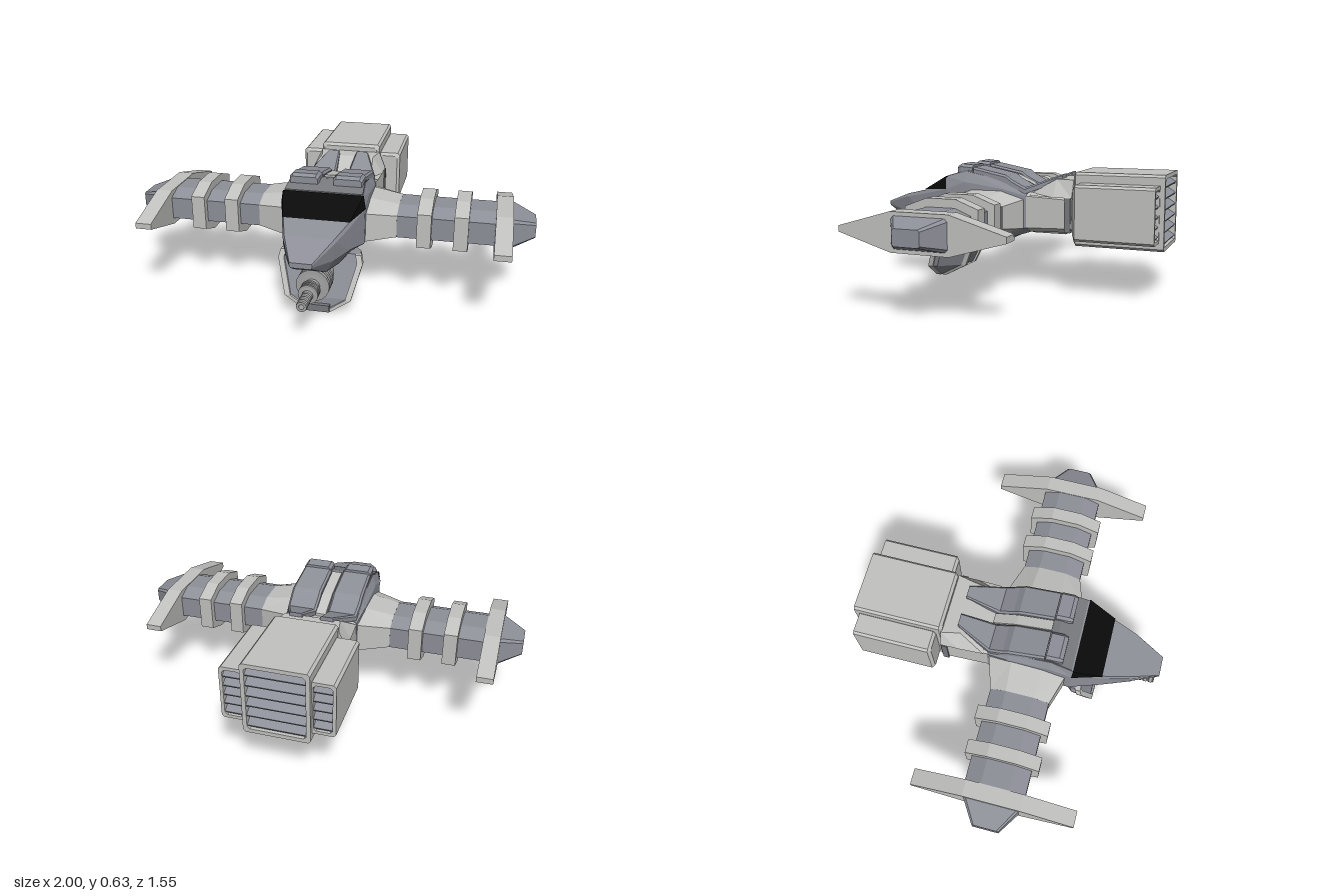
import * as THREE from 'three';

const mat = (name, color) => Object.assign(new THREE.MeshStandardMaterial({ color, flatShading: true }), { name });

// Skins matching convex cross-sections and caps both ends, facing outwards
function loft(sections) {
  const tris = [], n = sections[0].length;
  for (let i = 0; i + 1 < sections.length; i++) {
    const a = sections[i], b = sections[i + 1];
    for (let j = 0; j < n; j++) {
      const k = (j + 1) % n;
      tris.push([a[j], a[k], b[k]], [a[j], b[k], b[j]]);
    }
  }
  const first = sections[0], last = sections[sections.length - 1];
  for (let j = 1; j + 1 < n; j++) {
    tris.push([first[0], first[j + 1], first[j]], [last[0], last[j], last[j + 1]]);
  }
  const v = (p) => new THREE.Vector3(...p);
  const volume = tris.reduce((s, t) => s + v(t[0]).dot(v(t[1]).cross(v(t[2]))), 0);
  if (volume < 0) tris.forEach((t) => t.reverse());
  const g = new THREE.BufferGeometry();
  g.setAttribute('position', new THREE.Float32BufferAttribute(tris.flat(2), 3));
  g.computeVertexNormals();
  return g;
}

// Symmetrical section from right-half points listed top to bottom
const mirrored = (z, half) => [
  ...half.map(([x, y]) => [x, y, z]),
  ...half.slice().reverse().map(([x, y]) => [-x, y, z]),
];

// Octagonal wing section at x
const oct = (x, hz, hy, cz, cy) =>
  [[hz, cy], [cz, hy], [-cz, hy], [-hz, cy], [-hz, -cy], [-cz, -hy], [cz, -hy], [hz, -cy]]
    .map(([z, y]) => [x, 0.39 + y, 0.12 + z]);

export function createModel() {
  const root = new THREE.Group();
  root.name = 'gunship';
  const light = mat('light grey', 0xc2c2c0);
  const hull = mat('hull grey', 0x8e9099);
  const dark = mat('dark grey', 0x77797d);
  const gunMetal = mat('gun metal', 0xa2a2a2);
  const glass = mat('black glass', 0x0a0a0a);
  glass.side = THREE.DoubleSide;

  const add = (name, geo, material, parent = root) => {
    const m = new THREE.Mesh(geo, material);
    m.name = name;
    parent.add(m);
    return m;
  };
  const box = (name, material, w, h, d, x, y, z, parent) => {
    const m = add(name, new THREE.BoxGeometry(w, h, d), material, parent);
    m.position.set(x, y, z);
    return m;
  };

  // Fuselage and nose
  add('fuselage', loft([
    mirrored(0.775, [[0.05, 0.40], [0.052, 0.393], [0.05, 0.382], [0.045, 0.375]]),
    mirrored(0.62, [[0.115, 0.455], [0.122, 0.44], [0.11, 0.35], [0.075, 0.29]]),
    mirrored(0.49, [[0.155, 0.485], [0.162, 0.465], [0.16, 0.35], [0.11, 0.277]]),
    mirrored(0.345, [[0.192, 0.562], [0.203, 0.5], [0.2, 0.32], [0.14, 0.28]]),
    mirrored(0.235, [[0.185, 0.593], [0.205, 0.54], [0.2, 0.31], [0.14, 0.25]]),
    mirrored(0.02, [[0.18, 0.55], [0.2, 0.51], [0.2, 0.31], [0.14, 0.255]]),
    mirrored(-0.09, [[0.16, 0.50], [0.185, 0.48], [0.185, 0.32], [0.12, 0.29]]),
  ]), hull);

  // Wrap-around windscreen
  const glassGeo = new THREE.BufferGeometry();
  const w = (s) => [[s * 0.159, 0.488, 0.493], [s * 0.196, 0.566, 0.347], [s * 0.207, 0.5, 0.345]];
  const [lb, lt, ls] = w(1), [rb, rt, rs] = w(-1);
  glassGeo.setAttribute('position', new THREE.Float32BufferAttribute(
    [rb, lb, lt, rb, lt, rt, lb, ls, lt, rb, rt, rs].flat(), 3));
  glassGeo.computeVertexNormals();
  add('windscreen', glassGeo, glass);

  // Roof strip behind the windscreen
  add('roofStrip', loft([
    mirrored(0.34, [[0.19, 0.569], [0.19, 0.55]]),
    mirrored(0.235, [[0.183, 0.6], [0.183, 0.58]]),
    mirrored(0.2, [[0.183, 0.594], [0.183, 0.57]]),
  ]), dark);

  // Neck to the engine, with a wedge on top
  add('neck', loft([
    mirrored(-0.08, [[0.15, 0.498], [0.183, 0.48], [0.183, 0.32], [0.12, 0.292]]),
    mirrored(-0.33, [[0.16, 0.488], [0.195, 0.47], [0.195, 0.33], [0.15, 0.305]]),
  ]), light);
  add('neckWedge', loft([
    mirrored(-0.11, [[0.15, 0.495], [0.19, 0.485]]),
    mirrored(-0.235, [[0.14, 0.567], [0.195, 0.48]]),
    mirrored(-0.33, [[0.16, 0.567], [0.195, 0.48]]),
  ]), light);
  box('neckCollar', dark, 0.4, 0.17, 0.03, 0, 0.395, -0.31);
  add('spine', loft([
    mirrored(0.2, [[0.026, 0.605], [0.026, 0.55]]),
    mirrored(0.02, [[0.026, 0.565], [0.026, 0.52]]),
    mirrored(-0.1, [[0.026, 0.512], [0.026, 0.48]]),
  ]), light);

  // Belly plates
  box('bellyPlate', dark, 0.2, 0.02, 0.2, 0, 0.255, 0.12);
  box('rearBellyPlate', dark, 0.12, 0.03, 0.18, 0, 0.293, -0.17);

  // Folded roof armour and hatches on each side
  for (const s of [1, -1]) {
    const slab = ([z, x0, x1, top, base, c]) =>
      [[x0, base], [x0, top - c], [x0 + c, top], [x1 - c, top], [x1, top - c], [x1, base]]
        .map(([x, y]) => [s * x, y, z]);
    add('roofArmour', loft([
      [0.2, 0.03, 0.18, 0.615, 0.58, 0.01],
      [0.02, 0.03, 0.185, 0.58, 0.54, 0.01],
      [-0.01, 0.03, 0.185, 0.558, 0.52, 0.01],
      [-0.08, 0.03, 0.18, 0.522, 0.49, 0.01],
      [-0.255, 0.045, 0.11, 0.588, 0.555, 0.006],
    ].map(slab)), hull);
    add('roofHatch', loft([
      [0.29, 0.04, 0.175, 0.618, 0.585, 0.01],
      [0.27, 0.035, 0.18, 0.63, 0.585, 0.014],
      [0.205, 0.035, 0.18, 0.625, 0.585, 0.014],
    ].map(slab)), hull);
  }

  // Wings: root, spar, ribs, end fin and tip
  for (const s of [1, -1]) {
    const wing = new THREE.Group();
    wing.name = s > 0 ? 'leftWing' : 'rightWing';
    root.add(wing);
    const part = (name, material, ...rows) =>
      add(name, loft(rows.map(([x, ...r]) => oct(s * x, ...r))), material, wing);
    part('wingRoot', light, [0.15, 0.205, 0.118, 0.08, 0.075], [0.2, 0.195, 0.112, 0.08, 0.072],
      [0.345, 0.15, 0.088, 0.07, 0.055]);
    part('wingSpar', hull, [0.34, 0.149, 0.087, 0.07, 0.055], [0.82, 0.149, 0.087, 0.07, 0.055]);
    for (const x of [0.445, 0.62]) {
      part('wingRib', light, [x, 0.183, 0.127, 0.072, 0.085], [x + 0.068, 0.183, 0.127, 0.072, 0.085]);
    }
    part('endFin', light, [0.81, 0.403, 0.09, 0.14, 0.014], [0.89, 0.403, 0.09, 0.14, 0.014]);
    part('wingTip', hull, [0.885, 0.138, 0.074, 0.125, 0.06], [1, 0.065, 0.038, 0.055, 0.03]);
  }

  // Engine blocks with louvred exhausts at the back
  const engine = new THREE.Group();
  engine.name = 'engine';
  root.add(engine);
  const block = (name, cx, hx, y0, y1, zf, zb, slats, rim) => {
    const rect = (z, i, c = 0.012) => {
      const a = cx - hx + i, b = cx + hx - i, lo = y0 + i, hi = y1 - i;
      return [[a + c, hi], [b - c, hi], [b, hi - c], [b, lo + c], [b - c, lo], [a + c, lo], [a, lo + c], [a, hi - c]]
        .map(([x, y]) => [x, y, z]);
    };
    add(name, loft([rect(zf, 0.014), rect(zf - 0.014, 0), rect(zb + 0.05, 0)]), light, engine);
    const outline = (i) => rect(0, i).map(([x, y]) => new THREE.Vector2(x, y));
    const shape = new THREE.Shape(outline(0).reverse());
    shape.holes.push(new THREE.Path(outline(rim)));
    const frame = add(name + 'Frame', new THREE.ExtrudeGeometry(shape, { depth: 0.05, bevelEnabled: false }), light, engine);
    frame.position.z = zb;
    const iw = 2 * (hx - rim), ih = y1 - y0 - 2 * rim;
    box(name + 'Recess', dark, iw, ih, 0.006, cx, (y0 + y1) / 2, zb + 0.05, engine);
    for (let i = 0; i < slats; i++) {
      const slat = box(name + 'Louvre', hull, iw, 0.012, 0.055, cx, y0 + rim + ih * (i + 0.5) / slats, zb + 0.03, engine);
      slat.rotation.x = -0.55;
    }
  };
  block('mainEngine', 0, 0.16, 0.24, 0.605, -0.325, -0.775, 6, 0.02);
  for (const s of [1, -1]) block('sideEngine', s * 0.21, 0.06, 0.283, 0.555, -0.355, -0.752, 5, 0.016);

  // Chin guard under the cockpit; rows give y, front z, back z, front half width, back half width
  const chinRows = [
    [0.285, 0.395, 0.225, 0.19, 0.09], [0.245, 0.408, 0.235, 0.2, 0.09],
    [0.075, 0.47, 0.315, 0.155, 0.06], [0.008, 0.475, 0.445, 0.055, 0.04],
  ];
  add('chinGuard', loft(chinRows.map(([y, f, b, fx, bx]) => [
    [fx, y, f], [fx, y, f - (f - b) * 0.25], [bx, y, b],
    [-bx, y, b], [-fx, y, f - (f - b) * 0.25], [-fx, y, f]])), hull);
  for (const s of [1, -1]) {
    add('chinRim', loft(chinRows.map(([y, f, , fx]) => [
      [s * (fx + 0.008), y, f - 0.015], [s * (fx + 0.008), y, f + 0.012],
      [s * (fx - 0.02), y, f + 0.012], [s * (fx - 0.02), y, f - 0.015]])), light);
    add('chinRidge', loft(chinRows.map(([y, , b, , bx]) => [
      [s * (bx + 0.012), y, b + 0.015], [s * (bx + 0.008), y - 0.004, b - 0.008],
      [s * (bx - 0.015), y - 0.004, b - 0.008], [s * (bx - 0.015), y, b + 0.015]])), light);
  }
  box('chinLip', dark, 0.12, 0.035, 0.03, 0, 0.026, 0.478);

  // Chin gun, turned around its barrel
  const profile = [[0, 0.36], [0.07, 0.36], [0.07, 0.47]];
  for (const z of [0.478, 0.515, 0.552]) {
    profile.push([0.06, z], [0.08, z], [0.08, z + 0.018], [0.06, z + 0.018]);
  }
  profile.push([0.036, 0.572], [0.036, 0.605]);
  for (const z of [0.605, 0.627, 0.648]) {
    profile.push([0.036, z], [0.047, z], [0.047, z + 0.011], [0.036, z + 0.011]);
  }
  for (const z of [0.662, 0.69, 0.718, 0.746]) {
    profile.push([0.02, z], [0.026, z + 0.004], [0.026, z + 0.02], [0.02, z + 0.025]);
  }
  profile.push([0.024, 0.775], [0.012, 0.775], [0.012, 0.74], [0, 0.74]);
  const gun = add('chinGun', new THREE.LatheGeometry(profile.map(([r, z]) => new THREE.Vector2(r, z)), 20), gunMetal);
  gun.rotation.x = Math.PI / 2;
  gun.position.y = 0.187;

  return root;
}
